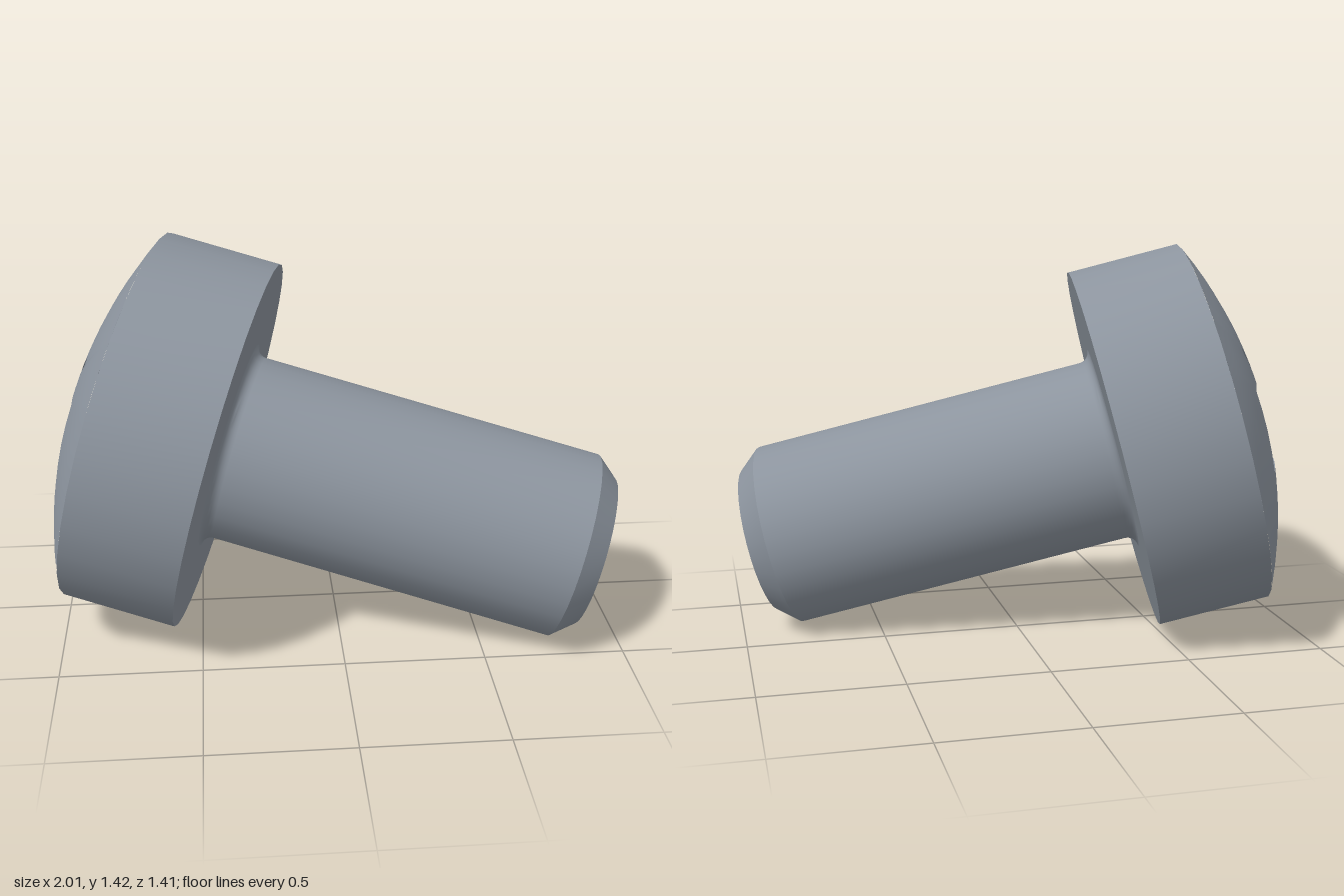
import * as THREE from 'three';
import { toCreasedNormals } from 'three/addons/utils/BufferGeometryUtils.js';

const HEAD_R = 0.68, HEAD_H = 0.41, DOME_H = 0.16, SHANK_R = 0.34, FILLET = 0.04;

// Height of the domed top at a given radius
const SPHERE_R = (HEAD_R ** 2 + DOME_H ** 2) / (2 * DOME_H);
const domeY = (r) => HEAD_H + DOME_H - SPHERE_R + Math.sqrt(SPHERE_R ** 2 - r * r);

function lathe(points) {
  const profile = points.map(([r, y]) => new THREE.Vector2(r, y));
  return toCreasedNormals(new THREE.LatheGeometry(profile, 32), 0.5);
}

// Cross-shaped drive outline with a thin diagonal slit in each inner corner:
// arm length, arm half width, slit length, slit half width
function driveOutline(arm, half, slit, slitHalf) {
  const k = Math.SQRT1_2;
  const corners = [];
  for (let q = 0; q < 4; q++) {
    const c = Math.cos(q * Math.PI / 2), s = Math.sin(q * Math.PI / 2);
    const quarter = [
      [arm, -half], [arm, half], [half + slitHalf / k, half],
      [(slit + slitHalf) * k, (slit - slitHalf) * k],
      [(slit - slitHalf) * k, (slit + slitHalf) * k],
      [half, half + slitHalf / k],
    ];
    for (const [x, z] of quarter) corners.push(new THREE.Vector2(x * c - z * s, x * s + z * c));
  }
  // Subdivide every edge so that the rim can follow the dome
  const out = [];
  corners.forEach((p, i) => {
    const next = corners[(i + 1) % corners.length];
    for (let j = 0; j < 4; j++) out.push(p.clone().lerp(next, j / 4));
  });
  return out;
}

// Joins successive closed rings, listed from the inside outwards
function joinRings(rings) {
  const pos = [];
  for (let i = 0; i + 1 < rings.length; i++) {
    const A = rings[i], B = rings[i + 1], n = A.length;
    for (let j = 0; j < n; j++) {
      const k = (j + 1) % n;
      for (const p of [A[j], A[k], B[j], B[j], A[k], B[k]]) pos.push(p.x, p.y, p.z);
    }
  }
  const geo = new THREE.BufferGeometry();
  geo.setAttribute('position', new THREE.Float32BufferAttribute(pos, 3));
  geo.computeVertexNormals();
  return geo;
}

export function createModel() {
  const model = new THREE.Group();
  model.name = 'screw';
  const steel = new THREE.MeshStandardMaterial({ color: 0x8c949e });
  steel.name = 'steel grey';

  const add = (name, geometry) => {
    const mesh = new THREE.Mesh(geometry, steel);
    mesh.name = name;
    model.add(mesh);
  };

  // Shank with chamfered tip and a fillet under the head
  const shank = [[0, -1.37], [0.273, -1.37], [SHANK_R, -1.29]];
  for (let i = 0; i <= 6; i++) {
    const t = (i / 6) * Math.PI / 2;
    shank.push([SHANK_R + FILLET * (1 - Math.cos(t)), -FILLET + FILLET * Math.sin(t)]);
  }
  add('shank', lathe(shank));

  // Head underside and side
  add('head', lathe([[SHANK_R + FILLET, 0], [HEAD_R, 0], [HEAD_R, HEAD_H]]));

  // Domed top around the drive opening
  const opening = driveOutline(0.365, 0.15, 0.41, 0.0175);
  const domeRings = [];
  for (let i = 0; i <= 5; i++) {
    domeRings.push(opening.map((p) => {
      const r = THREE.MathUtils.lerp(p.length(), HEAD_R, i / 5);
      const a = p.angle();
      return new THREE.Vector3(r * Math.cos(a), domeY(r), r * Math.sin(a));
    }));
  }
  add('headDome', toCreasedNormals(joinRings(domeRings), 0.5));

  // Tapered drive recess ending in a cone
  const floor = driveOutline(0.2, 0.13, 0.225, 0.0175)
    .map((p) => new THREE.Vector3(p.x, 0.33, p.y));
  const apex = floor.map(() => new THREE.Vector3(0, 0.2, 0));
  add('driveRecess', joinRings([apex, floor, domeRings[0]]));

  // Lay the screw over along its tilted axis
  const axis = new THREE.Vector3(-1, 0.266, -0.213).normalize();
  const up = new THREE.Vector3(0, 1, 0).addScaledVector(axis, -axis.y).normalize();
  const side = new THREE.Vector3().crossVectors(up, axis);
  model.quaternion.setFromRotationMatrix(new THREE.Matrix4().makeBasis(up, axis, side));
  model.position.set(-0.38, 0.66, 0.04);

  const root = new THREE.Group();
  root.name = 'model';
  root.add(model);
  return root;
}
